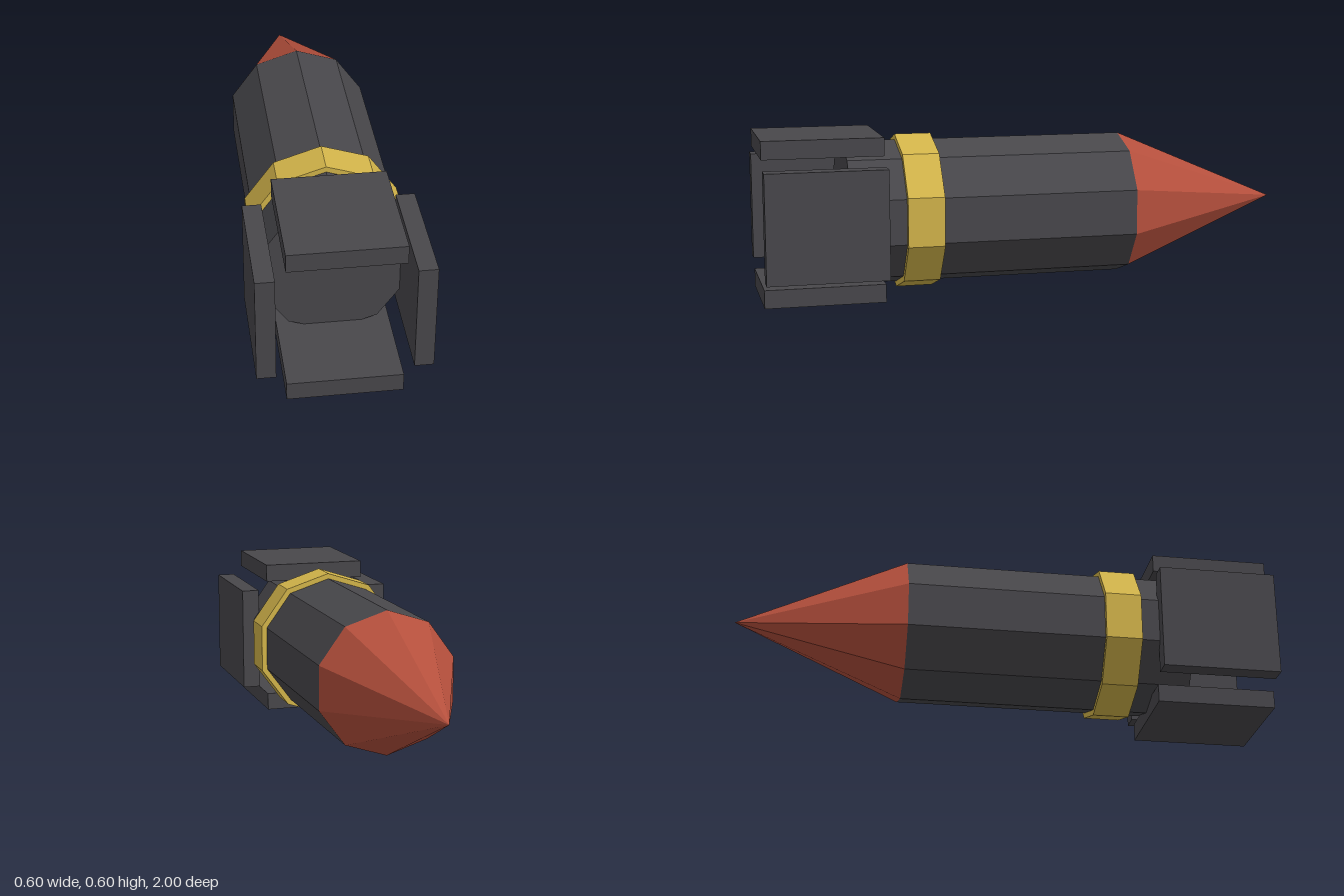
import * as THREE from 'three';

const CENTER_Y = 0.301;

function material(name, color) {
  const m = new THREE.MeshStandardMaterial({ color, flatShading: true });
  m.name = name;
  return m;
}

export function createModel() {
  const group = new THREE.Group();
  group.name = 'rocket';
  const charcoal = material('charcoal', 0x48474b);
  const gold = material('gold', 0xd2b44a);
  const red = material('red', 0xb44f3c);

  function add(name, geometry, mat, x, y, z) {
    const mesh = new THREE.Mesh(geometry, mat);
    mesh.name = name;
    mesh.position.set(x, y, z);
    group.add(mesh);
  }

  // Ten-sided section lying along z, from its back to its front
  function section(name, mat, rBack, rFront, zBack, zFront) {
    const geometry = rBack === 0
      ? new THREE.ConeGeometry(rFront, zFront - zBack, 10)
      : new THREE.CylinderGeometry(rBack, rFront, zFront - zBack, 10);
    geometry.rotateX(-Math.PI / 2);
    add(name, geometry, mat, 0, CENTER_Y, (zBack + zFront) / 2);
  }

  section('noseCone', red, 0, 0.268, -1, -0.375);
  section('body', charcoal, 0.268, 0.268, -0.375, 0.69);
  section('band', gold, 0.289, 0.289, 0.355, 0.49);

  // Four tail plates around the end of the body
  const thick = 0.067, offset = 0.268;
  for (const s of [1, -1]) {
    add(s > 0 ? 'topFin' : 'bottomFin', new THREE.BoxGeometry(0.4, thick, 0.44),
      charcoal, 0, CENTER_Y + s * offset, 0.78);
    add(s > 0 ? 'leftFin' : 'rightFin', new THREE.BoxGeometry(thick, 0.4, 0.44),
      charcoal, s * offset, CENTER_Y, 0.78);
  }
  return group;
}
